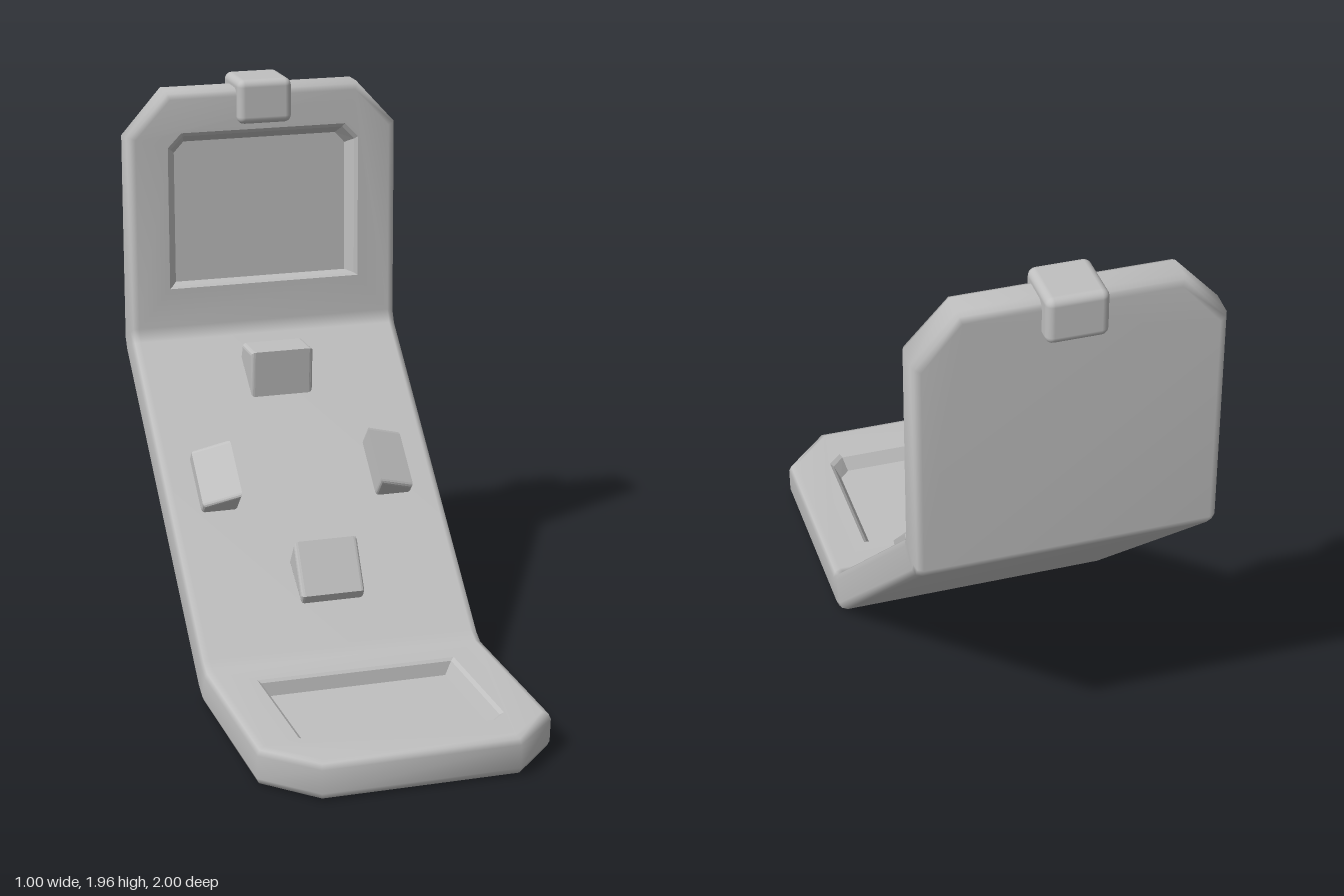
import * as THREE from 'three';
import { mergeVertices } from 'three/addons/utils/BufferGeometryUtils.js';
import { RoundedBoxGeometry } from 'three/addons/geometries/RoundedBoxGeometry.js';

// Bent sheet profile as [z, y]; the outer and inner lines share their stations
const OUTER = [[1, 0], [0.125, 0], [0.08, 0.025], [-0.93, 0.965], [-0.95, 1.0], [-0.95, 1.93]];
const INNER = [[1, 0.135], [0.18, 0.135], [0.13, 0.16], [-0.8, 1.025], [-0.82, 1.07], [-0.82, 1.93]];
const END = 0.85; // length of each end panel

const along = (line, s) => {
  const k = Math.min(4, Math.floor(s)), t = s - k;
  return [0, 1].map(i => line[k][i] * (1 - t) + line[k + 1][i] * t);
};

// x across, s along the sheet (in stations), h from outer (0) to inner (1) face
function bend(x, s, h) {
  const a = along(OUTER, s), b = along(INNER, s);
  return [x, a[1] + (b[1] - a[1]) * h, a[0] + (b[0] - a[0]) * h];
}

// Closes a right-hand side outline with its mirror image
const loop = right => [...right, ...right.map(([x, s]) => [-x, s]).reverse()];

// Outline of the whole sheet, inset by i
const outline = i => [
  [0.335 - 0.4 * i, i / END], [0.5 - i, 0.2 + 0.4 * i / END],
  [0.5 - i, 1], [0.5 - i, 2], [0.5 - i, 3], [0.5 - i, 4],
  [0.5 - i, 4.82 - 0.4 * i / END], [0.355 - 0.4 * i, 5 - i / END],
];

// Outlines of the two recesses, inset by i
const lowerRecess = i => loop([
  [0.3 - 0.6 * i, 0.189 + i / END], [0.35 - i, 0.25 + 0.6 * i / END], [0.35 - i, 0.854 - i / END]]);
const upperRecess = i => loop([
  [0.355 - i, 4.163 + i / END], [0.355 - i, 4.766 - 0.6 * i / END], [0.305 - 0.6 * i, 4.826 - i / END]]);

// Flat face across an outline, with an optional hole
function addCap(out, points, h, flip = false, hole = null) {
  const vec = list => list.map(([x, s]) => new THREE.Vector2(x, s));
  const all = [...points, ...(hole || [])];
  for (const f of THREE.ShapeUtils.triangulateShape(vec(points), hole ? [vec(hole)] : [])) {
    for (const i of flip ? [f[0], f[2], f[1]] : f) out.push(...bend(...all[i], h));
  }
}

// Walls joining successive rings [inset, height] of one outline
function addWalls(out, shape, rings) {
  for (let r = 0; r + 1 < rings.length; r++) {
    const a = shape(rings[r][0]), b = shape(rings[r + 1][0]);
    const ha = rings[r][1], hb = rings[r + 1][1];
    a.forEach((p, i) => {
      const j = (i + 1) % a.length;
      const A = bend(...p, ha), B = bend(...a[j], ha), C = bend(...b[j], hb), D = bend(...b[i], hb);
      out.push(...A, ...B, ...C, ...A, ...C, ...D);
    });
  }
}

function toGeometry(positions, smooth) {
  let g = new THREE.BufferGeometry();
  g.setAttribute('position', new THREE.Float32BufferAttribute(positions, 3));
  if (smooth) g = mergeVertices(g, 1e-4);
  g.computeVertexNormals();
  return g;
}

function bodyGeometry() {
  const out = [], bevel = 0.028;
  addWalls(out, i => loop(outline(i)), [
    [bevel, 0], [0.008, 0.06], [0, 0.2], [0, 0.8], [0.008, 0.94], [bevel, 1]]);
  const holes = { 0: lowerRecess(0), 4: upperRecess(0) };
  for (let k = 0; k < 5; k++) {
    const panel = loop(outline(bevel).filter(([, s]) => s >= k && s <= k + 1));
    addCap(out, panel, 0, true);
    addCap(out, panel, 1, false, holes[k]);
  }
  return toGeometry(out, true);
}

function recessGeometry(shape) {
  const out = [];
  addWalls(out, shape, [[0, 1], [0.012, 0.93], [0.035, 0.58]]);
  addCap(out, shape(0.035), 0.58);
  return toGeometry(out, false);
}

// Bevelled prism, centred on its depth
function prism(points, depth) {
  const b = 0.014;
  const g = new THREE.ExtrudeGeometry(new THREE.Shape(points.map(p => new THREE.Vector2(...p))), {
    depth: depth - 2 * b, bevelThickness: b, bevelSize: b, bevelOffset: -b, bevelSegments: 3,
  });
  return g.translate(0, 0, b - depth / 2);
}

export function createModel() {
  const grey = new THREE.MeshStandardMaterial({ color: 0xc0c0c0 });
  grey.name = 'lightGrey';
  const model = new THREE.Group();
  model.name = 'foldedPanel';
  const add = (name, geometry) => {
    const mesh = new THREE.Mesh(geometry, grey);
    mesh.name = name;
    model.add(mesh);
    return mesh;
  };

  // Sheet with its two sunken trays
  add('bentSheet', bodyGeometry());
  add('lowerRecess', recessGeometry(lowerRecess));
  add('upperRecess', recessGeometry(upperRecess));

  // Upper and lower wedge buttons, profiles as [z, y]
  const wedges = {
    upperButton: [[-0.6, 0.845], [-0.585, 1.015], [-0.72, 1.015], [-0.745, 0.955]],
    lowerButton: [[0.022, 0.28], [0.038, 0.31], [-0.06, 0.478], [-0.125, 0.385]],
  };
  for (const [name, profile] of Object.entries(wedges)) {
    add(name, prism(profile, 0.23).rotateY(-Math.PI / 2));
  }

  // Side wedge buttons, lying along the slope and thicker towards the middle
  const normal = new THREE.Vector3(0, 0.732, 0.681), down = new THREE.Vector3(0, -0.681, 0.732);
  for (const [name, side] of [['leftButton', 1], ['rightButton', -1]]) {
    const g = prism([[0.255, -0.012], [0.387, -0.012], [0.387, 0.04], [0.255, 0.097]]
      .map(([x, n]) => [side * x, n]), 0.23);
    g.applyMatrix4(new THREE.Matrix4().makeBasis(new THREE.Vector3(1, 0, 0), normal, down));
    add(name, g).position.set(0, 0.619, -0.363);
  }

  // Block clipped over the top edge
  add('topClip', new RoundedBoxGeometry(0.2, 0.16, 0.21, 3, 0.026)).position.set(0, 1.882, -0.895);
  return model;
}
